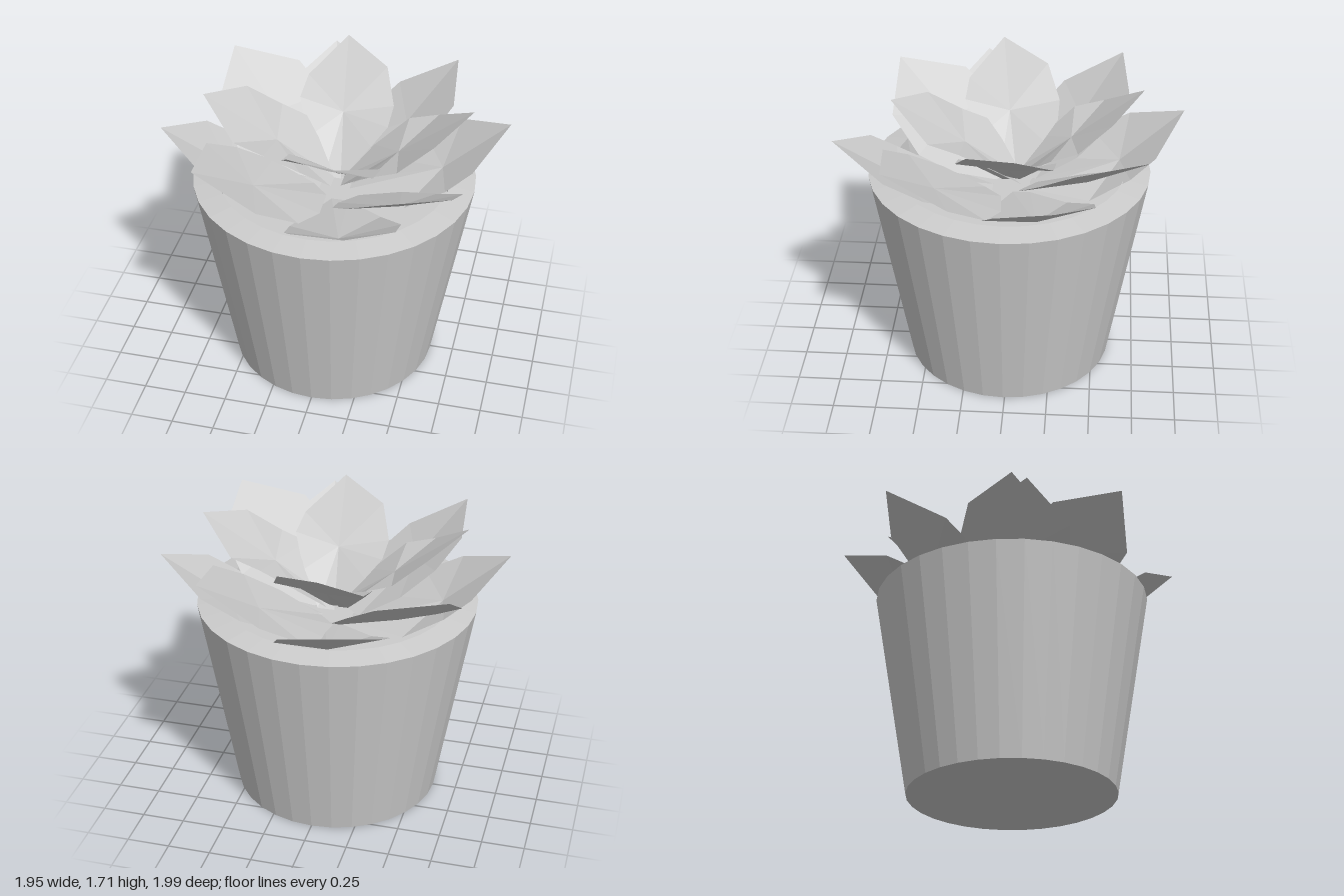
import * as THREE from 'three';

// A gently cupped leaf: an outline of [x, y, z] points fanned around a middle point
function leafGeometry(middle, outline) {
  const corners = [];
  outline.forEach((point, i) => {
    corners.push(middle, point, outline[(i + 1) % outline.length]);
  });
  const geometry = new THREE.BufferGeometry();
  geometry.setAttribute('position', new THREE.Float32BufferAttribute(corners.flat(), 3));
  geometry.computeVertexNormals();
  return geometry;
}

// Each ring repeats one leaf four times; the shifts [x, z] vary the leaves slightly.
// Outlines start at the tip and run down the right edge, then up the left.
const rings = [
  {
    name: 'innerLeaf',
    middle: [0.03, 1.42, 0.335],
    outline: [
      [0.09, 1.705, 0.745], [0.285, 1.535, 0.52], [0.295, 1.48, 0.345], [0.2, 1.33, 0.16],
      [0.07, 1.17, 0.01], [-0.03, 1.17, 0.01],
      [-0.18, 1.33, 0.14], [-0.26, 1.42, 0.23], [-0.265, 1.475, 0.38], [-0.185, 1.62, 0.57],
    ],
    shifts: [[0.03, -0.075], [-0.02, 0.035], [0, 0.01], [0, 0]],
  },
  {
    name: 'middleLeaf',
    middle: [0.45, 1.34, 0.39],
    outline: [
      [0.775, 1.61, 0.635], [0.785, 1.40, 0.28], [0.61, 1.24, 0.09], [0.4, 1.17, 0.02],
      [0.15, 1.12, 0.04], [0.05, 1.12, 0.14],
      [0.07, 1.26, 0.38], [0.19, 1.4, 0.56], [0.38, 1.535, 0.675],
    ],
    shifts: [[0.005, 0.01], [0, -0.055], [0, 0], [-0.06, -0.01]],
  },
  {
    name: 'outerLeaf',
    middle: [0.14, 1.235, 0.62],
    outline: [
      [0.25, 1.515, 0.985], [0.465, 1.375, 0.675], [0.455, 1.26, 0.45], [0.3, 1.14, 0.25],
      [0.08, 1.11, 0.1], [-0.02, 1.11, 0.1],
      [-0.18, 1.14, 0.45], [-0.15, 1.27, 0.68], [-0.085, 1.375, 0.82],
    ],
    shifts: [[0.025, 0.005], [0.035, -0.015], [-0.03, 0.01], [-0.05, -0.01]],
  },
];

export function createModel() {
  const model = new THREE.Group();
  const grey = new THREE.MeshStandardMaterial({
    color: 0xcccccc, flatShading: true, side: THREE.DoubleSide,
  });
  grey.name = 'lightGrey';

  // Tapered pot with a gently sloping rim and a recessed soil disc
  const profile = [
    [0, 0], [0.61, 0], [0.82, 1.225], [0.68, 1.247], [0.66, 1.1], [0, 1.1],
  ].map(([r, y]) => new THREE.Vector2(r, y));
  const pot = new THREE.Mesh(new THREE.LatheGeometry(profile, 32), grey);
  pot.name = 'pot';
  pot.position.z = 0.01;
  model.add(pot);

  // Rosette of leaves, three rings of four
  const rosette = new THREE.Group();
  rosette.name = 'rosette';
  for (const { name, middle, outline, shifts } of rings) {
    const geometry = leafGeometry(middle, outline);
    shifts.forEach(([x, z], i) => {
      const leaf = new THREE.Mesh(geometry, grey);
      leaf.name = name;
      leaf.position.set(x, 0, z);
      const turn = new THREE.Group();
      turn.name = name + 'Turn';
      turn.rotation.y = i * Math.PI / 2;
      turn.add(leaf);
      rosette.add(turn);
    });
  }
  model.add(rosette);
  return model;
}
